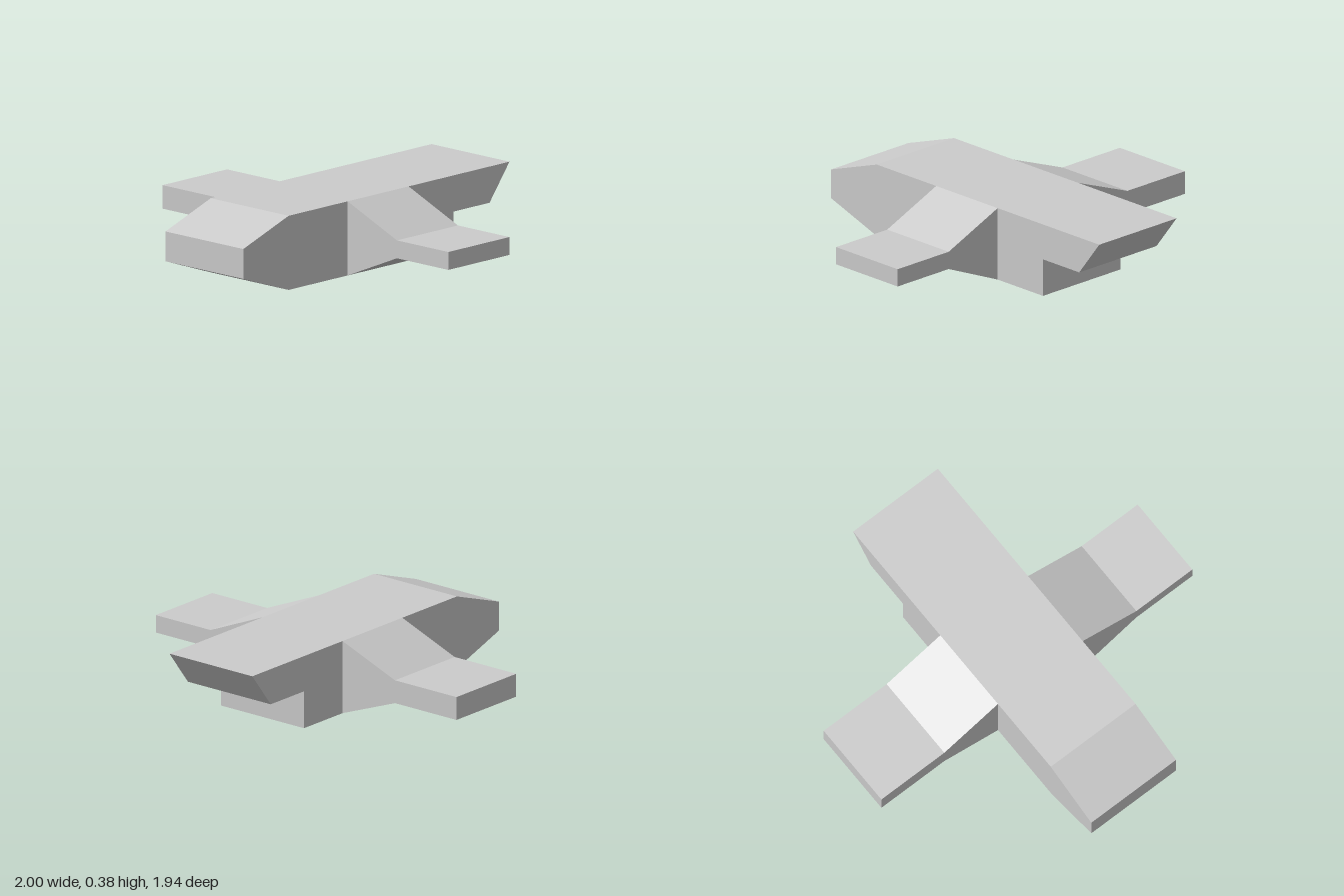
import * as THREE from 'three';

const material = new THREE.MeshStandardMaterial({ color: 0xcccccc, flatShading: true });

// Straight extrusion of a polygon along +z
function prism(name, points, depth) {
  const shape = new THREE.Shape(points.map(([x, y]) => new THREE.Vector2(x, y)));
  const geometry = new THREE.ExtrudeGeometry(shape, { depth, bevelEnabled: false });
  const mesh = new THREE.Mesh(geometry, material);
  mesh.name = name;
  return mesh;
}

// Wing: tapers from the full hull height at its root to a flat outer slab
function wing(name, side, rootX, kneeX, low, high, back, front) {
  const outline = [
    [rootX, 0], [kneeX, low], [1, low],
    [1, high], [kneeX, high], [rootX, 0.385],
  ].map(([x, y]) => [side * x, y]);
  const mesh = prism(name, outline, front - back);
  mesh.position.z = back;
  return mesh;
}

export function createModel() {
  const group = new THREE.Group();
  group.name = 'aircraft';

  const left = 0.295, right = -0.25;

  // Hull: side profile (z, y) with a wedge nose and an overhanging tail
  const hull = prism('hull', [
    [0.97, 0.115], [0.97, 0.27], [0.64, 0.385], [-0.97, 0.385],
    [-0.825, 0.197], [-0.563, 0.197], [-0.563, 0], [0.64, 0],
  ], left - right);
  hull.rotation.y = -Math.PI / 2;
  hull.position.x = left;
  group.add(hull);

  // Wings, slightly different on each side
  group.add(wing('leftWing', 1, left, 0.64, 0.147, 0.24, -0.235, 0.21));
  group.add(wing('rightWing', -1, -right, 0.595, 0.13, 0.252, -0.26, 0.21));

  return group;
}
